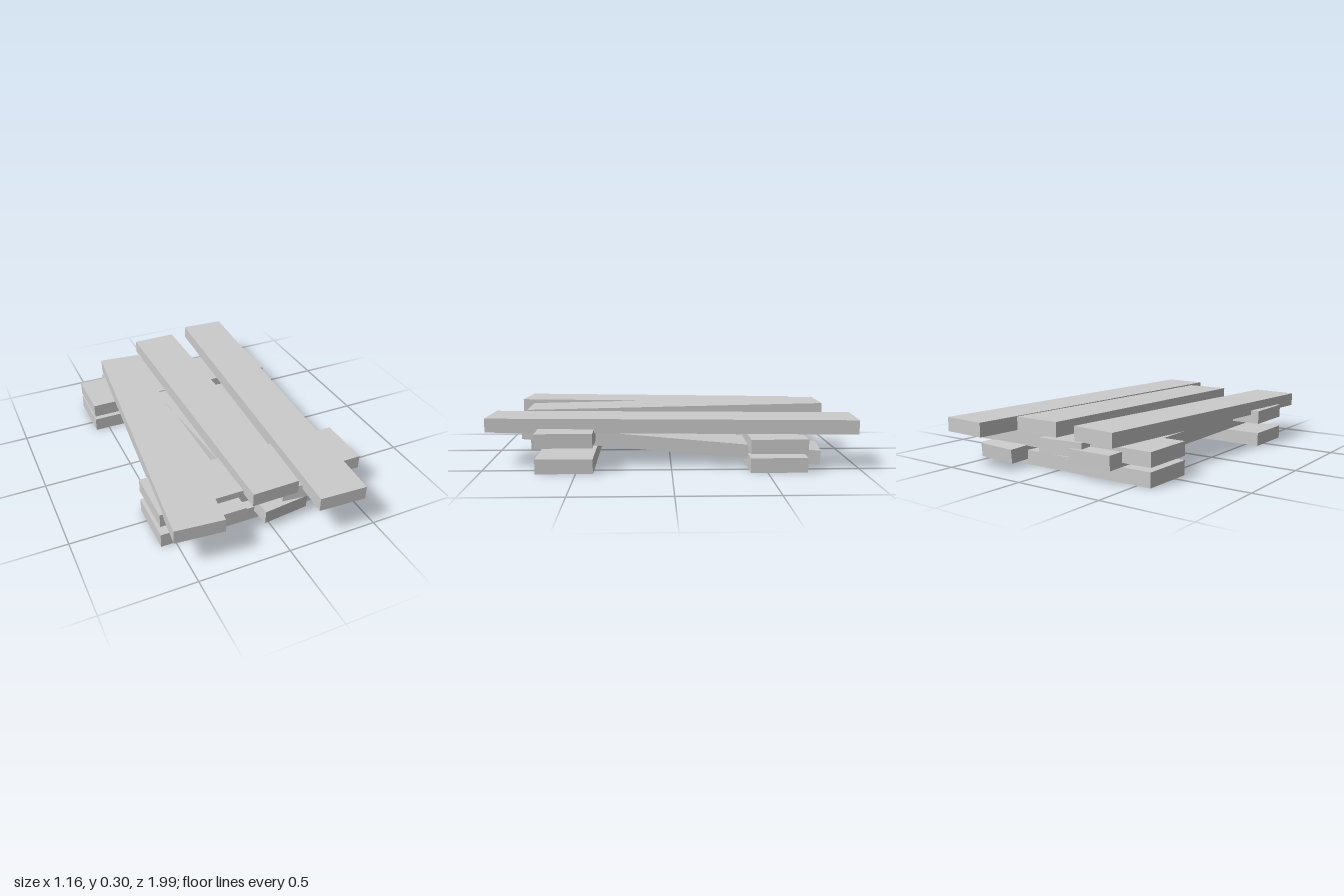
import * as THREE from 'three';

const T = 0.076; // board thickness
const W = 0.26;  // long board width

export function createModel() {
  const group = new THREE.Group();
  const material = new THREE.MeshStandardMaterial({ color: 0xcccccc, flatShading: true });

  // Board centred at (x, y, z); pitch lifts its back end, yaw swings it sideways
  function board(name, [w, h, l], [x, y, z], yaw = 0, pitch = 0) {
    const mesh = new THREE.Mesh(new THREE.BoxGeometry(w, h, l), material);
    mesh.name = name;
    mesh.position.set(x, y, z);
    mesh.rotation.set(pitch, yaw, 0, 'YXZ');
    group.add(mesh);
  }

  // Long board given by the x, z and underside height of its front and back ends
  function longBoard(name, front, back) {
    const [dx, dy, dz] = front.map((v, i) => v - back[i]);
    const run = Math.hypot(dx, dz);
    const c = front.map((v, i) => (v + back[i]) / 2);
    board(name, [W, T, Math.hypot(run, dy)], [c[0], c[1] + T / 2, c[2]],
      Math.atan2(dx, dz), Math.atan2(-dy, run));
  }

  // Cross boards: a pair on the ground and a pair resting higher up
  for (const [side, z, upperY] of [['Front', 0.56, 0.173], ['Back', -0.56, 0.138]]) {
    board('lowerCrossBoard' + side, [1.16, 0.078, 0.3], [0, 0.039, z]);
    board('upperCrossBoard' + side, [1.16, T, 0.3], [0, upperY, z]);
  }

  // Middle layer, tilted between the cross boards
  longBoard('innerBoardRight', [-0.28, 0.1, 0.8], [-0.28, 0.077, -0.805]);
  longBoard('innerBoardMiddle', [0.085, 0.045, 0.8], [-0.09, 0.11, -0.8]);
  longBoard('innerBoardLeft', [0.195, 0.134, 0.8], [0.365, 0.021, -0.805]);

  // Top layer, laid loosely askew
  longBoard('topBoardRight', [-0.45, 0.185, 0.905], [-0.283, 0.185, -0.775]);
  longBoard('topBoardMiddle', [0.008, 0.19, 0.815], [-0.01, 0.22, -0.88]);
  longBoard('topBoardLeft', [0.293, 0.19, 0.988], [0.395, 0.19, -0.993]);

  return group;
}
